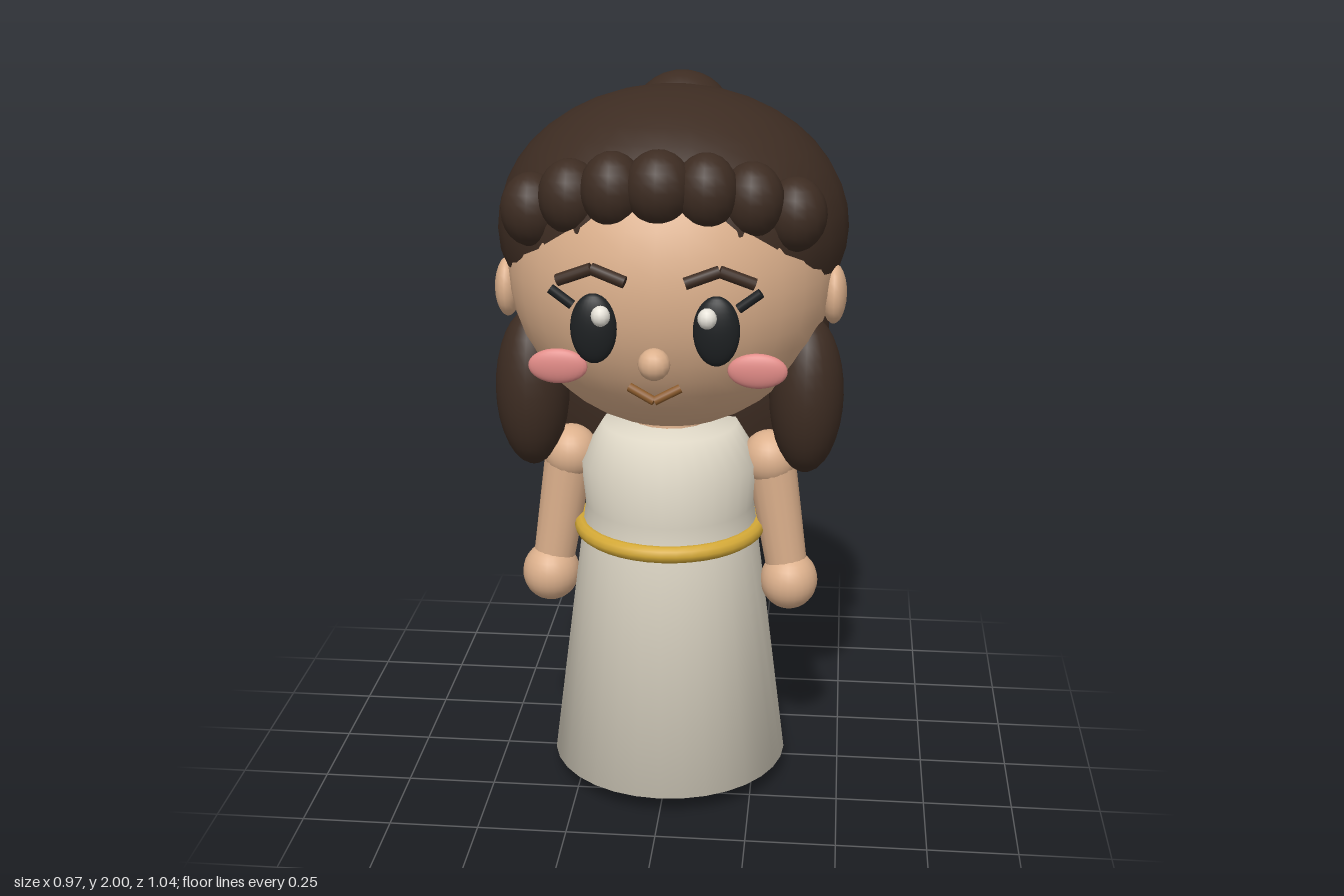
import * as THREE from 'three';

const mat = (name, color) => {
  const m = new THREE.MeshStandardMaterial({ color });
  m.name = name;
  return m;
};

export function createModel() {
  const hair = mat('dark brown hair', 0x3d2c22);
  const skin = mat('skin', 0xdcb08c);
  const cloth = mat('cream cloth', 0xddd6c5);
  const gold = mat('gold', 0xd4a937);
  const leather = mat('brown leather', 0x8a5a2b);
  const black = mat('eye black', 0x1d2022);
  const white = mat('eye glint', 0xf0ece2);
  const pink = mat('cheek pink', 0xe08a86);

  const model = new THREE.Group();
  model.name = 'girlInGown';

  const add = (name, geometry, material) => {
    const mesh = new THREE.Mesh(geometry, material);
    mesh.name = name;
    model.add(mesh);
    return mesh;
  };
  // Ellipsoid from a centre and three radii
  const blob = (name, material, c, r, w = 24, h = 16) => {
    const mesh = add(name, new THREE.SphereGeometry(1, w, h), material);
    mesh.position.set(...c);
    mesh.scale.set(...r);
    return mesh;
  };
  // Round rod between two points
  const rod = (name, material, a, b, ra, rb) => {
    const p = new THREE.Vector3(...a), q = new THREE.Vector3(...b);
    const mesh = add(name, new THREE.CylinderGeometry(rb, ra, p.distanceTo(q), 16), material);
    mesh.position.copy(p).lerp(q, 0.5);
    mesh.quaternion.setFromUnitVectors(new THREE.Vector3(0, 1, 0), q.sub(p).normalize());
    return mesh;
  };

  // Gown and belt
  const profile = [[0, 0.06], [0.34, 0.06], [0.25, 0.77], [0.24, 0.84], [0.253, 0.97], [0.19, 1.075], [0, 1.09]];
  add('gown', new THREE.LatheGeometry(profile.map(p => new THREE.Vector2(...p)), 32), cloth).position.z = 0.05;
  const belt = add('belt', new THREE.TorusGeometry(0.25, 0.024, 10, 40), gold);
  belt.rotation.x = Math.PI / 2;
  belt.position.set(0, 0.77, 0.05);

  // Head, nose and mouth
  blob('head', skin, [0, 1.52, 0], [0.45, 0.455, 0.455], 32, 24);
  blob('nose', skin, [0, 1.37, 0.482], [0.042, 0.042, 0.04], 14, 10);
  rod('neck', skin, [0, 1.04, 0.04], [0, 1.14, 0.03], 0.11, 0.11);
  for (const s of [-1, 1]) {
    rod('mouth', leather, [s * 0.066, 1.303, 0.465], [0, 1.272, 0.482], 0.012, 0.012);
  }

  // Hair masses
  blob('hairCap', hair, [0, 1.62, -0.05], [0.485, 0.378, 0.47], 28, 20);
  blob('backHair', hair, [0, 1.2, -0.21], [0.445, 0.53, 0.24]);
  blob('bun', hair, [0, 1.86, -0.335], [0.148, 0.14, 0.13]);

  // Curls across the forehead
  blob('fringeCurl', hair, [0, 1.8, 0.362], [0.088, 0.097, 0.088], 16, 12);
  const curls = [[0.12, 1.79, 0.345], [0.235, 1.762, 0.305], [0.345, 1.715, 0.25]];

  // Mirrored parts
  for (const s of [-1, 1]) {
    const side = s > 0 ? 'left' : 'right';
    for (const [x, y, z] of curls) {
      blob(side + 'FringeCurl', hair, [s * x, y, z], [0.083, 0.098, 0.085], 16, 12);
    }
    blob(side + 'Lock', hair, [s * 0.382, 1.175, 0.085], [0.103, 0.225, 0.125]);
    blob(side + 'Ear', skin, [s * 0.45, 1.455, 0.053], [0.035, 0.083, 0.066], 16, 12);

    // Face details
    blob(side + 'Eye', black, [s * 0.157, 1.455, 0.46], [0.06, 0.092, 0.03]);
    blob(side + 'EyeGlint', white, [s * 0.135, 1.495, 0.487], [0.025, 0.027, 0.025], 12, 8);
    rod(side + 'Lash', black, [s * 0.268, 1.555, 0.45], [s * 0.212, 1.513, 0.45], 0.013, 0.013);
    rod(side + 'OuterBrow', hair, [s * 0.252, 1.573, 0.435], [s * 0.163, 1.607, 0.445], 0.016, 0.016);
    rod(side + 'InnerBrow', hair, [s * 0.163, 1.607, 0.445], [s * 0.076, 1.577, 0.46], 0.016, 0.016);
    blob(side + 'Cheek', pink, [s * 0.26, 1.335, 0.402], [0.078, 0.047, 0.02]);

    // Arms and feet
    blob(side + 'Shoulder', skin, [s * 0.282, 0.975, 0.055], [0.078, 0.08, 0.078]);
    rod(side + 'Arm', skin, [s * 0.342, 0.62, 0.06], [s * 0.285, 0.98, 0.055], 0.058, 0.07);
    blob(side + 'Hand', skin, [s * 0.345, 0.61, 0.067], [0.082, 0.085, 0.087]);
    blob(side + 'Shoe', leather, [s * 0.12, 0.05, 0.19], [0.08, 0.045, 0.117]);
  }
  return model;
}
